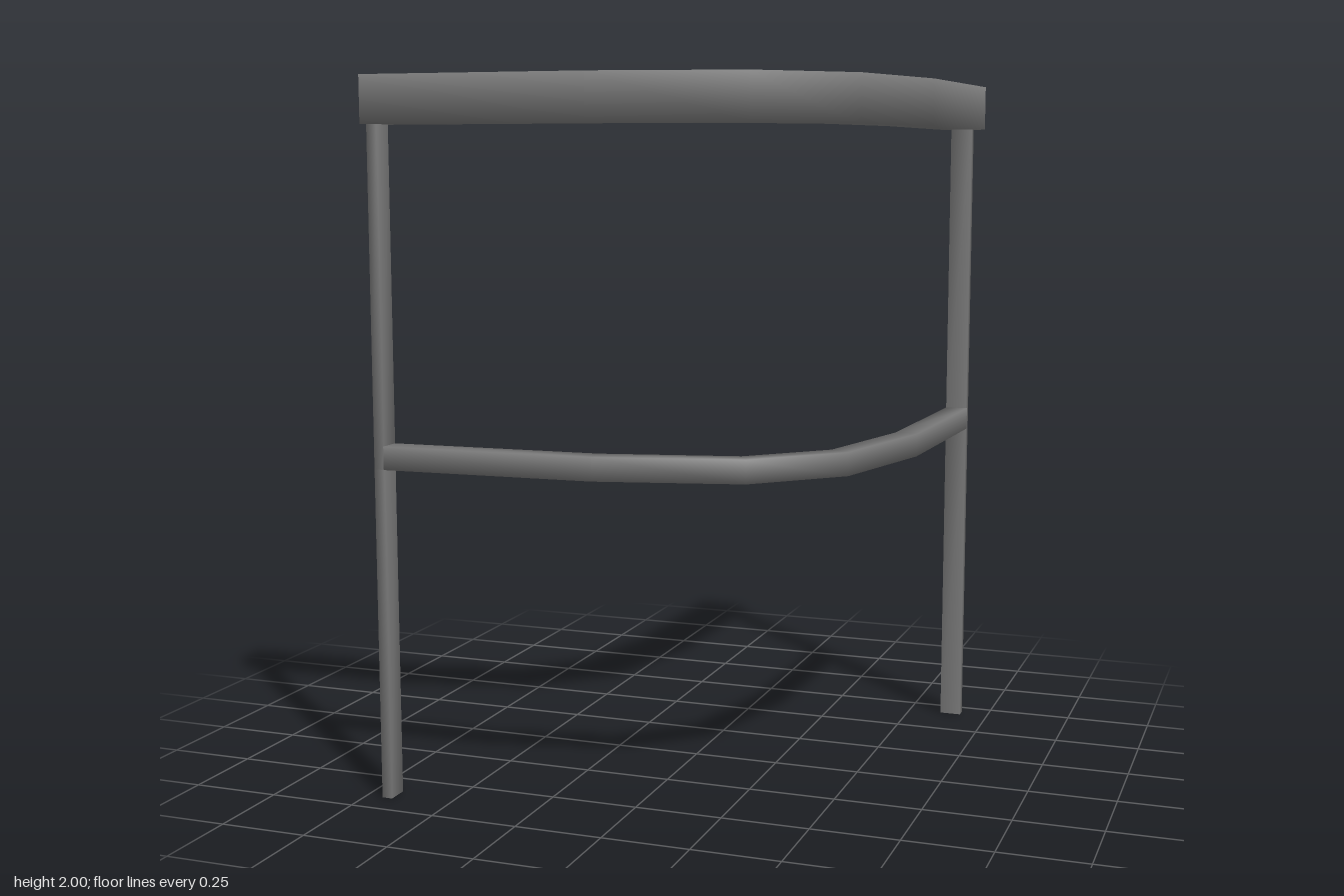
import * as THREE from 'three';
import { mergeVertices } from 'three/addons/utils/BufferGeometryUtils.js';

// Plan corners [x, z] of the wide rail, along its outer and inner edges
const OUTER = [[-0.70, 0.70], [-0.06, 0.68], [0.35, 0.58], [0.58, 0.35], [0.68, -0.06], [0.70, -0.70]];
const INNER = [[-0.70, 0.57], [-0.07, 0.55], [0.29, 0.47], [0.47, 0.29], [0.55, -0.07], [0.57, -0.70]];

// Open-ended square tube following the bend; widthScale narrows it about its centre line
function railGeometry(yBottom, yTop, widthScale, end) {
  const positions = [];
  const index = [];
  const last = OUTER.length - 1;
  OUTER.forEach(([ox, oz], i) => {
    const [ix, iz] = INNER[i];
    const edge = (side) => {
      const t = 0.5 + side * widthScale / 2;
      const x = ix + (ox - ix) * t;
      const z = iz + (oz - iz) * t;
      return [i === 0 ? -end : x, i === last ? -end : z];
    };
    const [ax, az] = edge(1);
    const [bx, bz] = edge(-1);
    positions.push(ax, yBottom, az, ax, yTop, az, bx, yTop, bz, bx, yBottom, bz);
    if (i === last) return;
    for (let k = 0; k < 4; k++) {
      const a = i * 4 + k;
      const b = i * 4 + (k + 1) % 4;
      index.push(a, a + 4, b, b, a + 4, b + 4);
    }
  });
  const geometry = new THREE.BufferGeometry();
  geometry.setAttribute('position', new THREE.Float32BufferAttribute(positions, 3));
  geometry.setIndex(index);
  geometry.computeVertexNormals();
  return geometry;
}

// Box with normals shared across its corners
function smoothBox(w, h, d) {
  const box = new THREE.BoxGeometry(w, h, d);
  box.deleteAttribute('normal');
  box.deleteAttribute('uv');
  const geometry = mergeVertices(box);
  geometry.computeVertexNormals();
  return geometry;
}

export function createModel() {
  const group = new THREE.Group();
  const metal = new THREE.MeshStandardMaterial({ color: 0x777777, side: THREE.DoubleSide });
  metal.name = 'grey metal';

  const add = (name, geometry, x = 0, y = 0, z = 0) => {
    const mesh = new THREE.Mesh(geometry, metal);
    mesh.name = name;
    mesh.position.set(x, y, z);
    group.add(mesh);
  };

  // Handrail on top and a slimmer rail at mid height
  add('topRail', railGeometry(1.87, 2.0, 1, 0.70), 0, 0, 0);
  add('middleRail', railGeometry(0.935, 1.0, 0.5, 0.67), 0, 0, 0);

  // A flat post at each end, in a lower and an upper length
  for (const [part, y0, y1] of [['Lower', 0, 0.935], ['Upper', 0.935, 1.87]]) {
    const h = y1 - y0;
    const y = (y0 + y1) / 2;
    add('frontPost' + part, smoothBox(0.03, h, 0.064), -0.685, y, 0.633);
    add('backPost' + part, smoothBox(0.064, h, 0.03), 0.633, y, -0.685);
  }
  return group;
}
